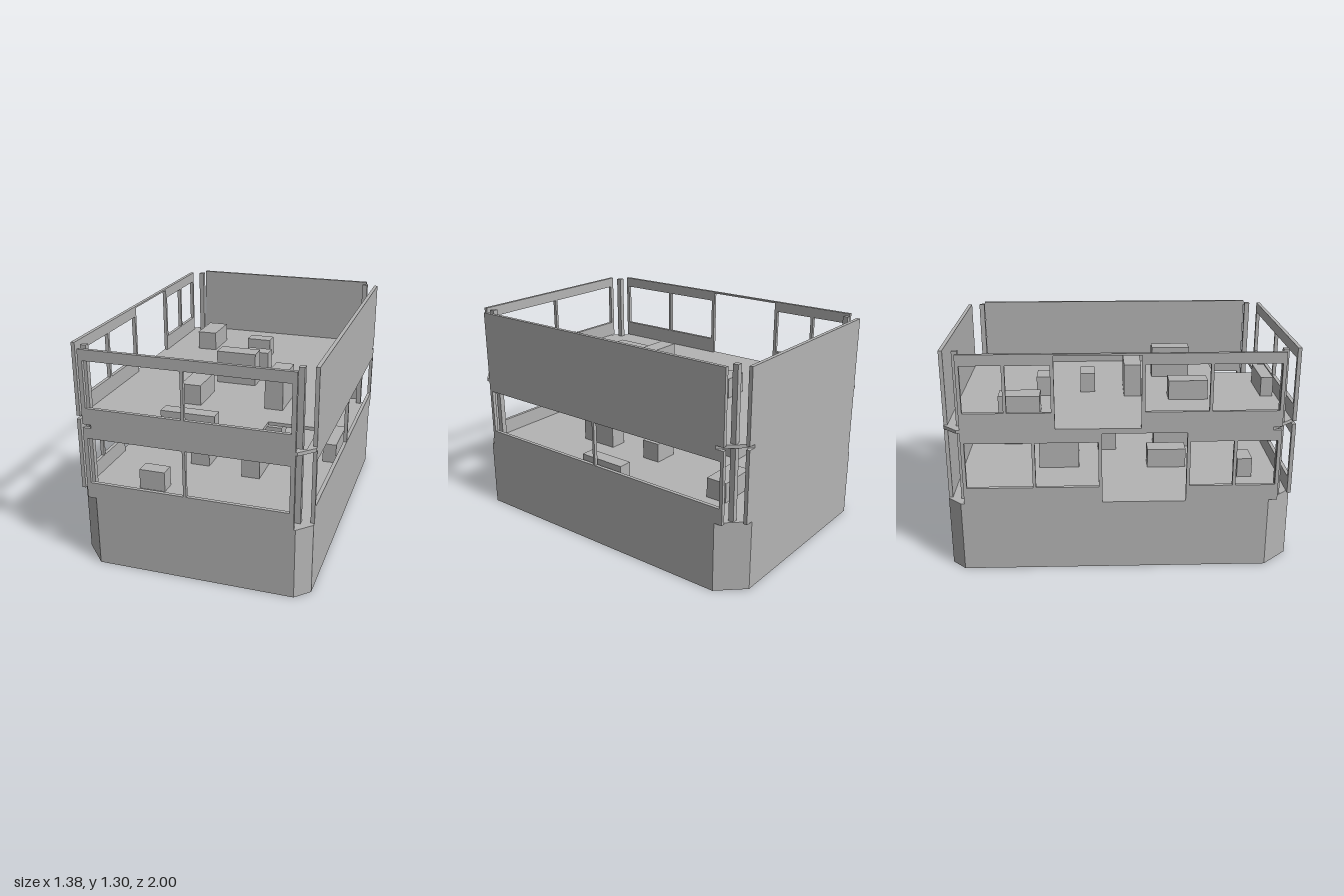
import * as THREE from 'three';

const FLOOR = 0.42, SLAB = 0.85, UPPER = 0.87, STOREY = 0.43, T = 0.022;

export function createModel() {
  const model = new THREE.Group();
  model.name = 'twoStoreyBuilding';
  const grey = new THREE.MeshStandardMaterial({ color: 0xb4b4b4 });
  grey.name = 'plain grey';

  const add = (name, geometry, x = 0, y = 0, z = 0) => {
    const mesh = new THREE.Mesh(geometry, grey);
    mesh.name = name;
    mesh.position.set(x, y, z);
    model.add(mesh);
  };
  const rect = (x0, x1, y0, y1) => new THREE.Path([
    new THREE.Vector2(x0, y0), new THREE.Vector2(x1, y0),
    new THREE.Vector2(x1, y1), new THREE.Vector2(x0, y1)]);
  const extrude = (shape, depth) =>
    new THREE.ExtrudeGeometry(shape, { depth, bevelEnabled: false });

  // Plan outline: two narrow and two wide cut corners (plan y is -z)
  const plan = () => new THREE.Shape([
    [0.61, -1], [0.69, -0.92], [0.69, 0.85], [0.55, 1],
    [-0.61, 1], [-0.69, 0.92], [-0.69, -0.85], [-0.55, -1],
  ].map(([x, y]) => new THREE.Vector2(x, y)));

  // Solid base
  add('base', extrude(plan(), FLOOR).rotateX(-Math.PI / 2));

  // Upper floor with stair opening
  const slab = plan();
  slab.holes.push(rect(0.36, 0.645, -0.95, -0.66));
  add('upperFloor', extrude(slab, UPPER - SLAB).rotateX(-Math.PI / 2), 0, SLAB, 0);

  // Wall one storey high: window spans along its length, optional door notch
  const wall = (half, windows, door) => {
    const pts = [[-half, 0]];
    if (door) pts.push([door[0], 0], [door[0], 0.42], [door[1], 0.42], [door[1], 0]);
    pts.push([half, 0], [half, STOREY], [-half, STOREY]);
    const shape = new THREE.Shape(pts.map(([x, y]) => new THREE.Vector2(x, y)));
    for (const [a, b] of windows) shape.holes.push(rect(a, b, 0.095, 0.367));
    return extrude(shape, T);
  };
  const sideWall = (...args) => wall(0.9, ...args).rotateY(-Math.PI / 2);
  const frontWindows = [[-0.575, -0.02], [-0.003, 0.575]];
  const lowerWindows = [[-0.88, -0.505], [-0.487, -0.13], [0.39, 0.635], [0.653, 0.88]];
  const flip = (spans) => spans.map(([a, b]) => [-b, -a]);

  for (const [level, y] of [['lower', FLOOR], ['upper', UPPER]]) {
    const low = level === 'lower';
    add(level + 'FrontWall', wall(0.6, frontWindows), 0, y, 1 - T);
    add(level + 'BackWall', wall(0.6, []), 0, y, -1);
    add(level + 'LeftWall', sideWall(low ? [[-0.88, 0.003], [0.018, 0.88]] : []), 0.69, y, 0);
    add(level + 'RightWall', low
      ? sideWall(lowerWindows, [-0.11, 0.37])
      : sideWall(flip(lowerWindows), [-0.37, 0.11]), -0.69 + T, y, 0);
  }
  // Strips closing the joint between the storeys
  const joint = UPPER - SLAB;
  for (const s of [-1, 1]) {
    add('jointStrip', new THREE.BoxGeometry(1.1, joint, T), 0, SLAB + joint / 2, s * (1 - T / 2));
  }

  // Corner posts
  for (const x of [-0.603, 0.603]) for (const z of [-0.91, 0.91]) {
    add('cornerPost', new THREE.BoxGeometry(0.032, 1.3 - FLOOR, 0.032), x, (1.3 + FLOOR) / 2, z);
  }

  // Furniture blocks: x range, z range, height
  const blocks = (name, y, list) => {
    for (const [x0, x1, z0, z1, h] of list) {
      add(name, new THREE.BoxGeometry(x1 - x0, h, z1 - z0), (x0 + x1) / 2, y + h / 2, (z0 + z1) / 2);
    }
  };
  blocks('upperFurniture', UPPER, [
    [-0.47, -0.345, -0.705, -0.465, 0.12],
    [-0.095, 0.06, -0.505, -0.415, 0.12],
    [-0.03, 0.125, -0.235, -0.145, 0.12],
    [-0.12, 0.125, 0.035, 0.14, 0.2],
    [0.285, 0.392, 0.235, 0.48, 0.2],
    [-0.2, -0.08, 0.305, 0.545, 0.12],
    [-0.152, 0.15, 0.88, 0.955, 0.12],
  ]);
  blocks('lowerFurniture', FLOOR, [
    [-0.365, -0.21, 0.72, 0.81, 0.12],
    [-0.2, -0.08, 0.18, 0.42, 0.12],
    [0.15, 0.26, 0.245, 0.49, 0.2],
    [-0.185, -0.08, -0.5, -0.25, 0.2],
    [0.565, 0.648, -0.16, 0.14, 0.12],
    [0.105, 0.26, -0.13, -0.01, 0.12],
    [0.22, 0.46, -0.77, -0.64, 0.12],
  ]);
  return model;
}
